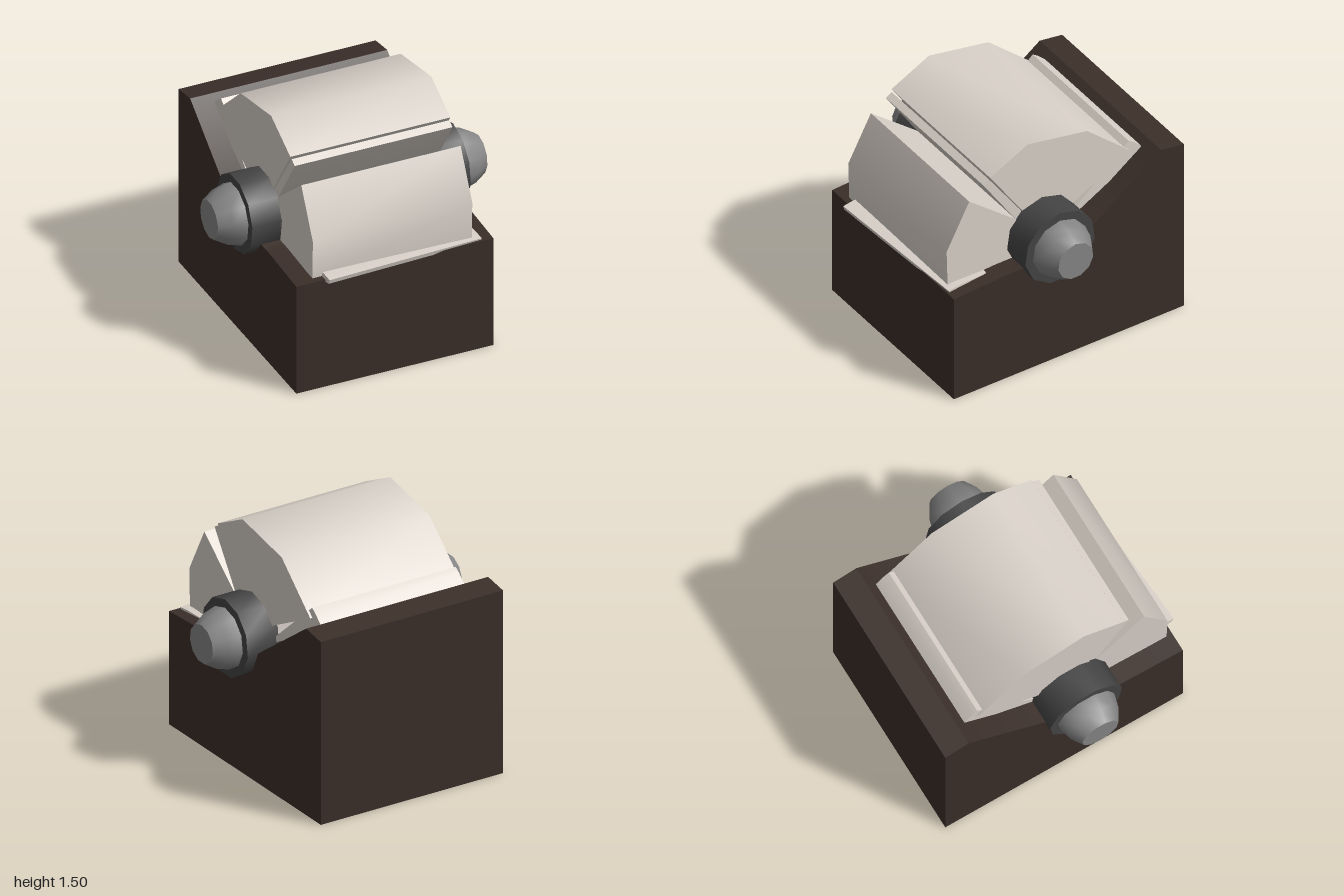
import * as THREE from 'three';
import { toCreasedNormals } from 'three/addons/utils/BufferGeometryUtils.js';

const paint = (color) => new THREE.MeshStandardMaterial({ color });

export function createModel() {
  const model = new THREE.Group();
  const dark = paint(0x3a2e28), pale = paint(0xd8d0c8);
  const iron = paint(0x444444), steel = paint(0x858585);

  // Profile in the x-y plane, extruded evenly to both sides along z
  function slab(name, points, depth, material) {
    const shape = new THREE.Shape(points.map(([x, y]) => new THREE.Vector2(x, y)));
    const geo = new THREE.ExtrudeGeometry(shape, { depth, bevelEnabled: false });
    geo.translate(0, 0, -depth / 2);
    const mesh = new THREE.Mesh(toCreasedNormals(geo, 0.7), material);
    mesh.name = name;
    model.add(mesh);
    return mesh;
  }

  // Stand with a low front and a sloping rest
  slab('base', [[-0.787, 0], [0.787, 0], [0.787, 0.713], [0.42, 0.733], [-0.02, 0.733],
    [-0.633, 1.175], [-0.787, 1.152]], 1.236, dark);

  // Hinged wedge segments around the axle
  slab('upperSegment', [[0.105, 0.84], [0.46, 1.367], [0.203, 1.497], [-0.204, 1.42], [-0.5, 1.155]], 1.004, pale);
  slab('lowerSegment', [[0.105, 0.85], [0.602, 1.257], [0.757, 0.963], [0.75, 0.718], [0.1, 0.73]], 1, pale);

  // Thin plates lining the segments
  slab('backPlate', [[0, 0.78], [-0.55, 1.085], [-0.583, 1.145], [-0.53, 1.195], [-0.497, 1.217]], 0.975, pale);
  slab('middlePlate', [[0.105, 0.84], [0.2, 0.87], [0.503, 1.328], [0.463, 1.352]], 0.99, pale);
  const lip = slab('frontPlate', [[0.15, 0.73], [0.74, 0.692], [0.8, 0.705], [0.808, 0.733], [0.74, 0.74]], 0.985, pale);
  lip.rotation.set(-0.012, 0.062, 0);
  lip.position.y = -0.002;

  // Axle collars and tapered knobs, one set at each end
  const profile = (pts) => pts.map(([r, y]) => new THREE.Vector2(r, y));
  const collar = profile([[0, 0.47], [0.24, 0.47], [0.24, 0.685], [0, 0.685]]);
  const knob = profile([[0, 0.66], [0.187, 0.66], [0.187, 0.69], [0.165, 0.77], [0.12, 0.845], [0, 0.845]]);
  for (const side of [1, -1]) {
    const end = new THREE.Group();
    end.name = side > 0 ? 'frontAxleEnd' : 'backAxleEnd';
    for (const [name, pts, mat] of [['collar', collar, iron], ['knob', knob, steel]]) {
      const mesh = new THREE.Mesh(toCreasedNormals(new THREE.LatheGeometry(pts, 11), 0.7), mat);
      mesh.name = name;
      end.add(mesh);
    }
    end.rotation.x = side * Math.PI / 2;
    end.position.set(0.105, 0.84, 0);
    model.add(end);
  }

  // The whole piece stands turned on the ground
  model.rotation.y = -0.593;
  const root = new THREE.Group();
  root.name = 'rollerBlock';
  root.add(model);
  return root;
}
